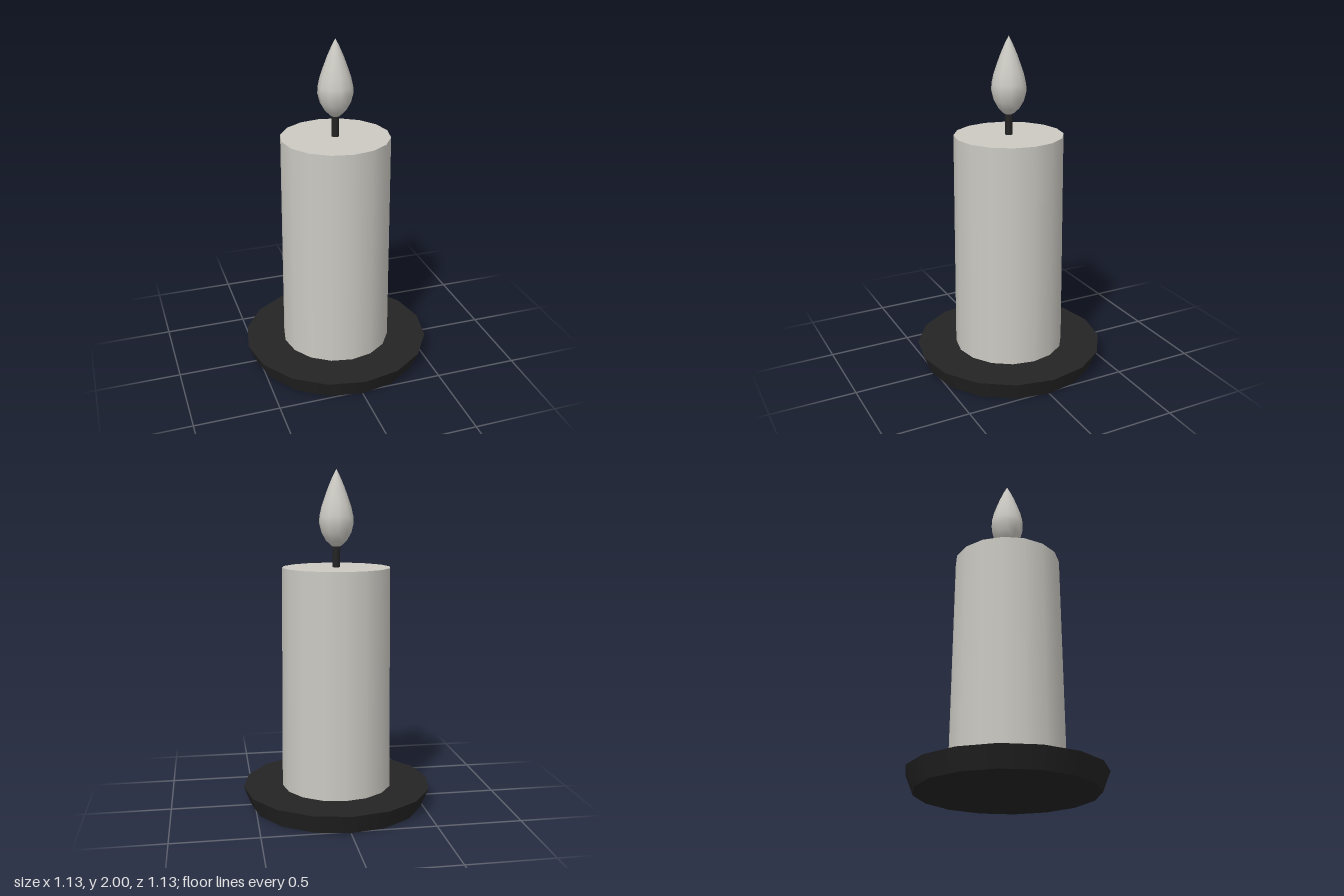
import * as THREE from 'three';

export function createModel() {
  const model = new THREE.Group();
  const wax = new THREE.MeshStandardMaterial({ color: 0xcbc9c2 });
  wax.name = 'pale wax';
  const black = new THREE.MeshStandardMaterial({ color: 0x242424 });
  black.name = 'black';

  const add = (name, geometry, material, y = 0) => {
    const mesh = new THREE.Mesh(geometry, material);
    mesh.name = name;
    mesh.position.y = y;
    model.add(mesh);
  };
  // Tapered cylinder standing between two heights
  const column = (name, rTop, rBottom, y0, y1, sides, material) =>
    add(name, new THREE.CylinderGeometry(rTop, rBottom, y1 - y0, sides), material, (y0 + y1) / 2);

  column('dish', 0.567, 0.52, 0, 0.115, 16, black);
  column('candle', 0.32, 0.33, 0.1, 1.435, 16, wax);
  column('wick', 0.022, 0.022, 1.42, 1.57, 8, black);

  // Teardrop flame, turned from a smooth profile
  const profile = [
    [0, 1.545], [0.03, 1.56], [0.062, 1.59], [0.088, 1.635], [0.102, 1.69], [0.1, 1.73],
    [0.088, 1.785], [0.069, 1.84], [0.047, 1.9], [0.023, 1.955], [0, 2],
  ].map(([r, y]) => new THREE.Vector2(r, y));
  add('flame', new THREE.LatheGeometry(profile, 10), wax);

  return model;
}
